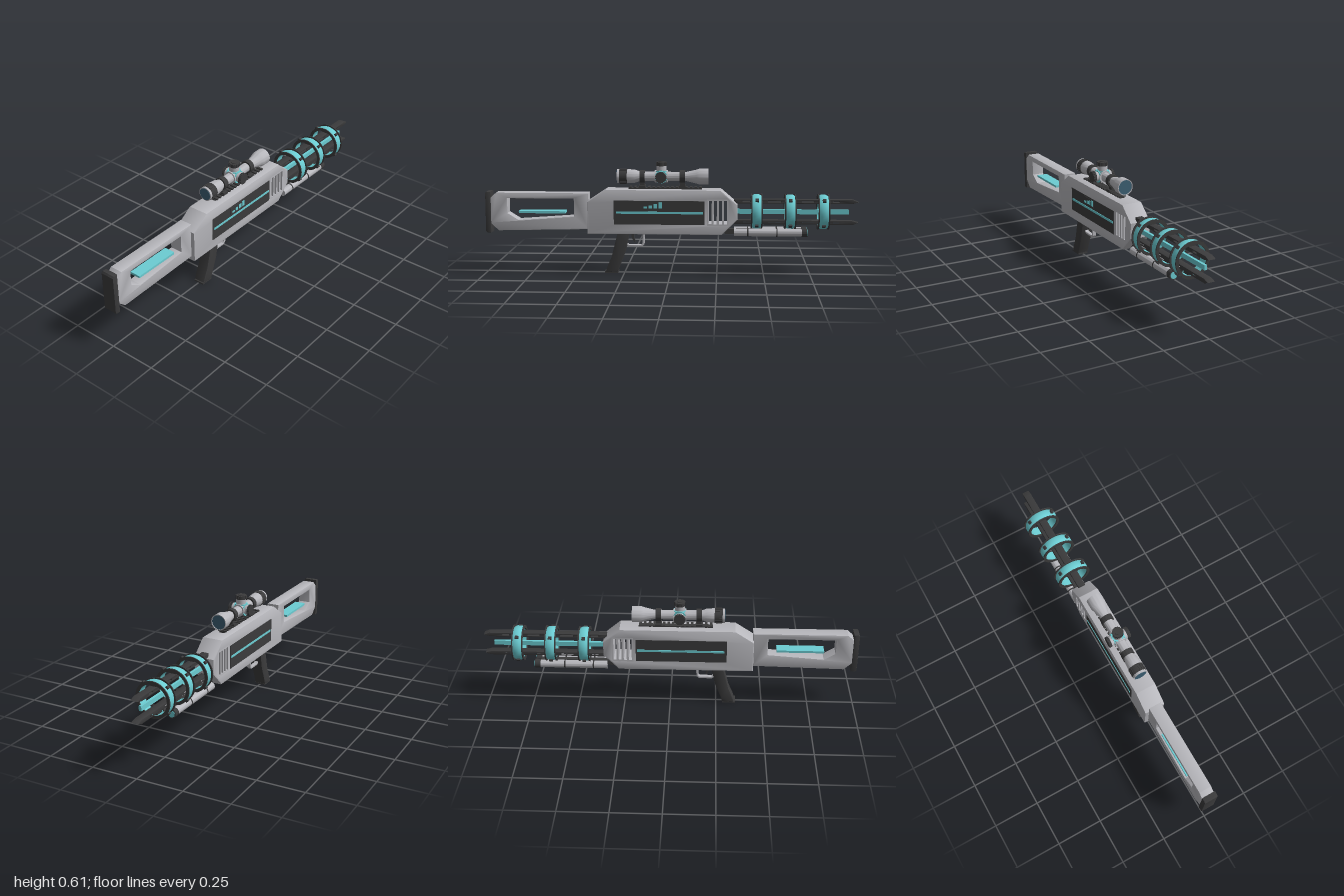
import * as THREE from 'three';
import { toCreasedNormals } from 'three/addons/utils/BufferGeometryUtils.js';

const mat = (name, color) => new THREE.MeshStandardMaterial({ name, color });

export function createModel() {
  const root = new THREE.Group();
  root.name = 'sciFiBlaster';
  const grey = mat('lightGrey', 0xb8b8bd), dark = mat('charcoal', 0x3b3b3c);
  const cyan = mat('cyan', 0x6ccdd3), glass = mat('lensBlue', 0x3d6074);

  const add = (name, geo, material, parent = root) => {
    const m = new THREE.Mesh(geo, material);
    m.name = name;
    parent.add(m);
    return m;
  };
  // Box given by its limits in x, y, z
  const box = (name, x0, x1, y0, y1, z0, z1, material, parent) => {
    const g = new THREE.BoxGeometry(x1 - x0, y1 - y0, z1 - z0);
    g.translate((x0 + x1) / 2, (y0 + y1) / 2, (z0 + z1) / 2);
    return add(name, g, material, parent);
  };
  const vec = (pts) => pts.map(([x, y]) => new THREE.Vector2(x, y));
  const rect = (x0, x1, y0, y1) => [[x0, y0], [x1, y0], [x1, y1], [x0, y1]];
  // Side outline extruded to +-h in z, with bevelled edges
  const slab = (name, pts, h, bevel, material, holes = []) => {
    const shape = new THREE.Shape(vec(pts));
    holes.forEach((p) => shape.holes.push(new THREE.Path(vec(p))));
    const g = new THREE.ExtrudeGeometry(shape, {
      depth: 2 * (h - bevel), bevelEnabled: bevel > 0, bevelSize: bevel,
      bevelThickness: bevel, bevelOffset: -bevel, bevelSegments: 2,
    });
    g.translate(0, 0, bevel - h);
    return add(name, toCreasedNormals(g, 0.5), material);
  };
  // Turned part along x from [x, radius] pairs
  const turned = (name, prof, y, z, material, parent) => {
    const g = new THREE.LatheGeometry(prof.map(([x, r]) => new THREE.Vector2(r, x)), 40);
    g.rotateZ(-Math.PI / 2);
    g.translate(0, y, z);
    return add(name, toCreasedNormals(g, 0.5), material, parent);
  };
  const rod = (name, x0, x1, r, y, z, material, parent) =>
    turned(name, [[x0, 0], [x0, r], [x1, r], [x1, 0]], y, z, material, parent);
  const hoop = (name, x0, x1, ri, ro, y, material, parent) =>
    turned(name, [[x0, ri], [x0, ro], [x1, ro], [x1, ri], [x0, ri]], y, 0, material, parent);

  // Receiver with a slotted vent insert
  const slots = [0, 1, 2, 3].map((i) => rect(0.205 + i * 0.027, 0.221 + i * 0.027, 0.277, 0.402));
  slab('receiver', [[-0.445, 0.218], [0.275, 0.218], [0.357, 0.3], [0.357, 0.382], [0.268, 0.458],
    [-0.345, 0.458], [-0.445, 0.392]], 0.057, 0.006, grey, [rect(0.202, 0.304, 0.274, 0.405)]);
  slab('ventInsert', rect(0.195, 0.31, 0.267, 0.411), 0.057, 0, grey, slots);

  // Side panels and light stripes
  for (const s of [1, -1]) {
    const side = new THREE.Group();
    side.name = s > 0 ? 'frontPanel' : 'backPanel';
    root.add(side);
    const plate = (name, x0, x1, y0, y1, d0, d1, m) =>
      box(name, x0, x1, y0, y1, Math.min(s * d0, s * d1), Math.max(s * d0, s * d1), m, side);
    plate('sidePanel', -0.302, 0.183, 0.272, 0.4, 0.055, 0.0585, dark);
    plate('lightStripe', -0.29, 0.175, 0.33, 0.342, 0.057, 0.061, cyan);
    if (s > 0) {
      plate('display', -0.155, -0.035, 0.353, 0.394, 0.057, 0.061, dark);
      for (let i = 0; i < 4; i++) {
        const x = -0.143 + i * 0.027;
        plate('levelBar', x, x + 0.019, 0.36, 0.37 + i * 0.007, 0.06, 0.063, cyan);
      }
    }
  }

  // Open-frame stock with light bar and butt pad
  slab('stock', [[-0.975, 0.27], [-0.93, 0.229], [-0.44, 0.24], [-0.44, 0.436], [-0.94, 0.436], [-0.975, 0.405]],
    0.035, 0.004, grey, [[[-0.88, 0.405], [-0.52, 0.405], [-0.52, 0.31], [-0.82, 0.288], [-0.88, 0.325]]]);
  box('stockLightBar', -0.82, -0.568, 0.324, 0.336, -0.03, 0.03, cyan);
  slab('buttPad', [[-1, 0.225], [-0.993, 0.217], [-0.97, 0.217], [-0.97, 0.441], [-0.993, 0.441], [-1, 0.432]],
    0.038, 0.004, dark);

  // Grip, trigger and guard
  slab('grip', [[-0.352, 0.003], [-0.285, 0.008], [-0.278, 0.03], [-0.243, 0.12], [-0.233, 0.17], [-0.222, 0.222],
    [-0.285, 0.222], [-0.303, 0.15], [-0.318, 0.09], [-0.34, 0.04]], 0.032, 0.005, dark);
  box('gripBase', -0.356, -0.284, 0, 0.009, -0.03, 0.03, dark);
  slab('triggerGuard', [[-0.237, 0.15], [-0.225, 0.142], [-0.155, 0.142], [-0.142, 0.155], [-0.138, 0.222], [-0.15, 0.222],
    [-0.153, 0.16], [-0.16, 0.153], [-0.225, 0.153], [-0.234, 0.16]], 0.011, 0.002, grey);
  slab('trigger', [[-0.215, 0.222], [-0.21, 0.19], [-0.198, 0.168], [-0.19, 0.17], [-0.198, 0.192], [-0.197, 0.222]],
    0.007, 0, dark);

  // Barrel: light core between two pointed, slotted rails
  const cy = 0.34;
  box('lightCore', 0.35, 0.95, 0.327, 0.352, -0.007, 0.007, cyan);
  const railSlots = [[0.385, 0.425], [0.52, 0.59], [0.7, 0.765], [0.865, 0.9]];
  for (const s of [1, -1]) {
    const f = ([x, d]) => [x, cy + s * d];
    slab(s > 0 ? 'upperRail' : 'lowerRail',
      [[0.34, 0.045], [0.965, 0.045], [1, 0.055], [0.97, 0.067], [0.34, 0.067]].map(f), 0.02, 0.002, dark,
      railSlots.map(([a, b]) => [[a, 0.052], [b, 0.052], [b, 0.06], [a, 0.06]].map(f)));
  }

  // Three coil rings with flanges and clips
  for (const x of [0.46, 0.638, 0.814]) {
    const ring = new THREE.Group();
    ring.name = 'coilRing';
    root.add(ring);
    turned('coil', [[x - 0.024, 0.079], [x - 0.024, 0.086], [x - 0.012, 0.092], [x + 0.012, 0.092],
      [x + 0.024, 0.086], [x + 0.024, 0.079], [x - 0.024, 0.079]], cy, 0, cyan, ring);
    for (const s of [-1, 1]) hoop('flange', x + s * 0.027 - 0.003, x + s * 0.027 + 0.003, 0.079, 0.095, cy, dark, ring);
    for (let i = 0; i < 4; i++) {
      const a = Math.PI / 4 + i * Math.PI / 2;
      const clip = add('clip', new THREE.BoxGeometry(0.018, 0.014, 0.016), dark, ring);
      clip.position.set(x, cy + 0.094 * Math.cos(a), 0.094 * Math.sin(a));
      clip.rotation.x = a;
    }
    for (const s of [-1, 1]) // supports from ring to rails
      box('ringSupport', x - 0.02, x + 0.02, cy + s * 0.074 - 0.009, cy + s * 0.074 + 0.009, -0.018, 0.018, dark, ring);
  }

  // Twin lamps under the barrel
  box('lampBracket', 0.29, 0.7, 0.218, 0.246, -0.013, 0.013, dark);
  for (const z of [0.032, -0.032]) {
    const lamp = new THREE.Group();
    lamp.name = 'lamp';
    root.add(lamp);
    rod('lampTube', 0.34, 0.705, 0.021, 0.231, z, grey, lamp);
    for (const x of [0.41, 0.565]) rod('lampBand', x, x + 0.007, 0.0225, 0.231, z, dark, lamp);
    rod('lampCap', 0.7, 0.73, 0.0235, 0.231, z, dark, lamp);
    rod('lampLens', 0.728, 0.733, 0.018, 0.231, z, cyan, lamp);
  }

  // Sight rail with teeth
  box('sightRail', -0.225, 0.168, 0.455, 0.464, -0.014, 0.014, dark);
  for (let i = 0; i < 16; i++) {
    const x = -0.222 + i * 0.025;
    box('railTooth', x, x + 0.013, 0.463, 0.471, -0.024, 0.024, dark);
  }

  // Telescopic sight
  const sy = 0.525;
  const scope = new THREE.Group();
  scope.name = 'scope';
  root.add(scope);
  turned('scopeTube', [[-0.287, 0], [-0.287, 0.038], [-0.225, 0.038], [-0.19, 0.035], [-0.165, 0.026], [-0.085, 0.026],
    [-0.085, 0.033], [-0.015, 0.033], [-0.015, 0.025], [0.085, 0.025], [0.14, 0.038], [0.155, 0.043],
    [0.202, 0.043], [0.202, 0.039], [0.196, 0.039], [0.196, 0]], sy, 0, grey, scope);
  rod('objectiveLens', 0.194, 0.199, 0.0385, sy, 0, glass, scope);
  rod('eyepieceLens', -0.289, -0.286, 0.033, sy, 0, glass, scope);
  for (const x of [-0.152, 0.063]) {
    rod('scopeClamp', x - 0.014, x + 0.014, 0.034, sy, 0, dark, scope);
    box('clampFoot', x - 0.013, x + 0.013, 0.468, 0.505, -0.014, 0.014, dark, scope);
    box('clampBase', x - 0.017, x + 0.017, 0.465, 0.479, -0.026, 0.026, dark, scope);
  }
  // Ridged knob along y, standing on y = 0
  const knob = (name, r, len) => {
    const k = new THREE.Group();
    k.name = name;
    add('knobCore', new THREE.CylinderGeometry(r - 0.002, r - 0.002, len, 32).translate(0, len / 2, 0), dark, k);
    for (let i = 0; i < 18; i++) {
      const g = new THREE.BoxGeometry(0.005, len * 0.85, 0.005);
      g.translate(0, len / 2, r - 0.0025).rotateY(i * Math.PI / 9);
      add('knobRidge', g, dark, k);
    }
    scope.add(k);
    return k;
  };
  const focus = knob('focusRing', 0.041, 0.042);
  focus.rotation.z = -Math.PI / 2;
  focus.position.set(-0.275, sy, 0);
  // Turrets on top and both sides
  const tx = -0.05;
  [[0, 0.057, 0.078], [Math.PI / 2, 0.046, 0.065], [-Math.PI / 2, 0.046, 0.061]].forEach(([a, y0, y1]) => {
    const t = new THREE.Group();
    t.name = 'turret';
    t.position.set(tx, sy, 0);
    t.rotation.x = a;
    scope.add(t);
    const cyl = (name, r, b, e, m) => add(name, new THREE.CylinderGeometry(r, r, e - b, 32).translate(0, (b + e) / 2, 0), m, t);
    cyl('turretBase', 0.027, 0, y0, grey);
    cyl('turretGlow', 0.034, 0.026, 0.031, cyan);
    const k = knob('turretKnob', 0.03, y1 - y0);
    k.position.y = y0;
    t.add(k);
    if (a === 0) cyl('turretCap', 0.016, y1, y1 + 0.003, dark);
  });
  return root;
}
